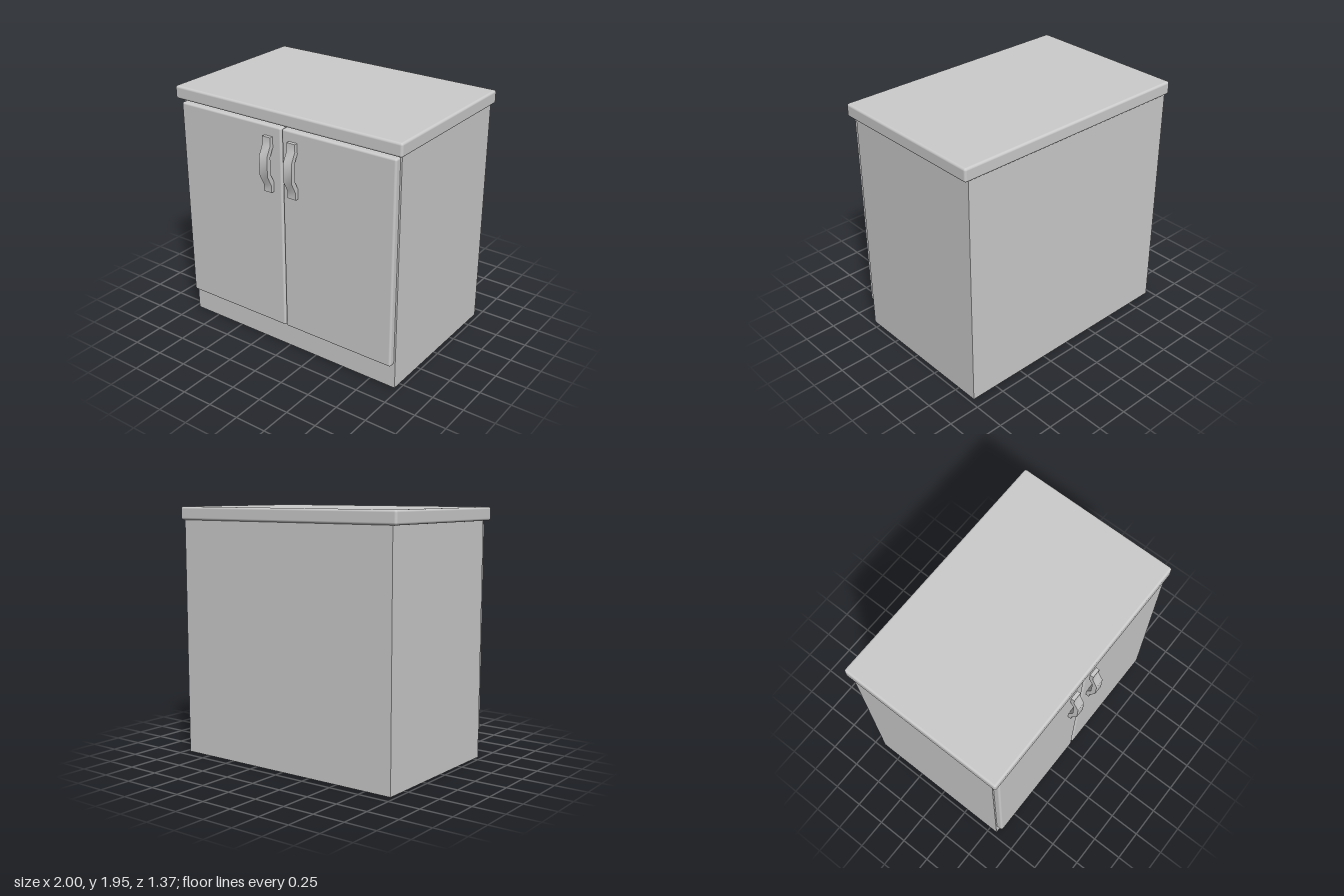
import * as THREE from 'three';
import { RoundedBoxGeometry } from 'three/addons/geometries/RoundedBoxGeometry.js';
import { toCreasedNormals } from 'three/addons/utils/BufferGeometryUtils.js';

const material = new THREE.MeshStandardMaterial({ color: 0xcccccc });

// Mesh filling the box between two opposite corners; radius 0 gives sharp edges
function block(name, min, max, radius = 0) {
  const [w, h, d] = max.map((v, i) => v - min[i]);
  const geometry = radius
    ? new RoundedBoxGeometry(w, h, d, 3, radius)
    : new THREE.BoxGeometry(w, h, d);
  const mesh = new THREE.Mesh(geometry, material);
  mesh.name = name;
  mesh.position.set(...max.map((v, i) => (v + min[i]) / 2));
  return mesh;
}

// Bowed pull handle: side profile in (z, y), extruded across its width
function handleGeometry(width) {
  const profile = [
    [0.61, 1.32], [0.645, 1.32], [0.645, 1.375], [0.687, 1.458],
    [0.687, 1.608], [0.645, 1.69], [0.645, 1.747], [0.61, 1.747],
    [0.61, 1.68], [0.65, 1.6], [0.65, 1.466], [0.61, 1.387],
  ];
  const shape = new THREE.Shape(profile.map(([z, y]) => new THREE.Vector2(z, y)));
  const geometry = new THREE.ExtrudeGeometry(shape, { depth: width, bevelEnabled: false });
  geometry.translate(0, 0, -width / 2);
  geometry.rotateY(-Math.PI / 2);
  return toCreasedNormals(geometry, 0.55);
}

export function createModel() {
  const cabinet = new THREE.Group();
  cabinet.name = 'cabinet';

  cabinet.add(block('body', [-0.965, 0, -0.67], [0.965, 1.85, 0.567]));
  cabinet.add(block('countertop', [-1, 1.848, -0.683], [1, 1.951, 0.628], 0.018));

  // Doors sit slightly into the body so only their front edges look rounded
  cabinet.add(block('rightDoor', [-0.952, 0.203, 0.53], [-0.004, 1.827, 0.617], 0.016));
  cabinet.add(block('leftDoor', [0.004, 0.203, 0.53], [0.952, 1.827, 0.617], 0.016));

  const geometry = handleGeometry(0.072);
  for (const [name, x] of [['rightHandle', -0.115], ['leftHandle', 0.104]]) {
    const handle = new THREE.Mesh(geometry, material);
    handle.name = name;
    handle.position.x = x;
    cabinet.add(handle);
  }

  return cabinet;
}
